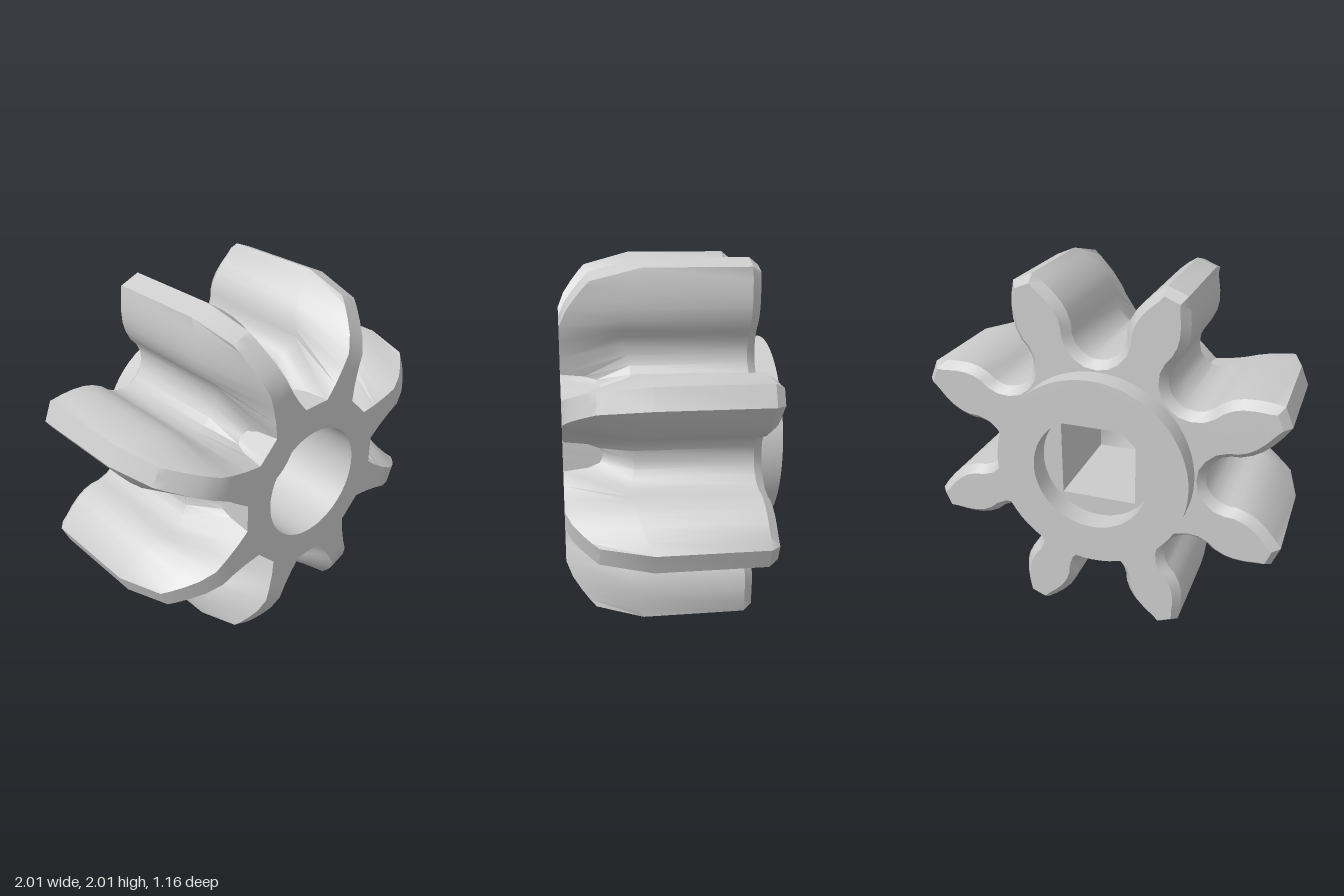
import * as THREE from 'three';
import { toCreasedNormals } from 'three/addons/utils/BufferGeometryUtils.js';

const TEETH = 8;
const HALF = Math.PI / TEETH; // from the middle of a gap to a tooth axis
const BORE = 0.32, BACK = -0.46, FRONT = 0.58, SHELF = 0.15;

// Half a tooth gap, from its floor to the tooth tip:
// flank (across gap, along gap, z where the front bevel starts),
// ridge (along tooth, across tooth, z where the bevel ends, z of the front edge)
const ROWS = [
  [0, 0.585, 0.22, 0.443, 0.184, 0.37, FRONT],
  [0.05, 0.592, 0.22, 0.459, 0.147, 0.39, FRONT],
  [0.095, 0.62, 0.23, 0.468, 0.124, 0.45, FRONT],
  [0.13, 0.66, 0.25, 0.474, 0.11, FRONT, FRONT],
  [0.147, 0.71, 0.27, 0.56, 0.085, FRONT, FRONT],
  [0.15, 0.76, 0.26, 0.65, 0.068, FRONT, FRONT],
  [0.17, 0.82, 0.24, 0.73, 0.06, FRONT, FRONT],
  [0.2, 0.87, 0.23, 0.82, 0.057, 0.545, 0.545],
  [0.245, 0.92, 0.21, 0.89, 0.055, 0.50, 0.50],
  [0.3, 0.967, 0.19, 0.95, 0.054, 0.455, 0.455],
  [0.354, 1.004, 0.16, 0.99, 0.053, 0.42, 0.42],
];
const TOOTH_ROW = 4; // rows from here on belong to a tooth

// One closed ring: rule(row, index) gives [radius, angle from gap middle, z]
function makeRing(rule) {
  const ring = [];
  for (let k = 0; k < TEETH; k++) {
    for (let j = 1 - ROWS.length; j < ROWS.length; j++) {
      const i = Math.abs(j);
      const [r, a, z] = rule(ROWS[i], i);
      const angle = k * 2 * HALF + Math.sign(j) * a;
      ring.push(new THREE.Vector3(r * Math.cos(angle), r * Math.sin(angle), z));
    }
  }
  return ring;
}

// Moves a ring inward along its normals, for the rear chamfer
function insetRing(ring, amount, z) {
  const n = ring.length;
  return ring.map((p, i) => {
    const t = ring[(i + 1) % n].clone().sub(ring[(i + n - 1) % n]).setZ(0).normalize();
    return new THREE.Vector3(p.x - t.y * amount, p.y + t.x * amount, z);
  });
}

// Joins consecutive rings with triangles, leaving out the collapsed ones
function loft(rings) {
  const pos = [];
  const tri = (a, b, c) => {
    const area = b.clone().sub(a).cross(c.clone().sub(a)).length();
    if (area > 1e-7) for (const p of [a, b, c]) pos.push(p.x, p.y, p.z);
  };
  for (let k = 0; k + 1 < rings.length; k++) {
    const a = rings[k], b = rings[k + 1];
    for (let i = 0; i < a.length; i++) {
      const j = (i + 1) % a.length;
      tri(a[i], a[j], b[j]);
      tri(a[i], b[j], b[i]);
    }
  }
  const geo = new THREE.BufferGeometry();
  geo.setAttribute('position', new THREE.Float32BufferAttribute(pos, 3));
  return toCreasedNormals(geo, 0.6);
}

function toothedBody() {
  const flank = (z) => makeRing((q) => [Math.hypot(q[0], q[1]), Math.atan2(q[0], q[1]), z ?? q[2]]);
  const ridge = (col) => makeRing((q) => [Math.hypot(q[3], q[4]), HALF - Math.atan2(q[4], q[3]), q[col]]);
  const circle = (r, z) => makeRing((q, i) => [r, HALF * Math.min(i / TOOTH_ROW, 1), z]);
  // Tooth rows fold onto the tooth axis; gap rows stay on the outline
  const spine = (ring) => {
    const n = 2 * ROWS.length - 1;
    return ring.map((p, idx) => {
      const j = (idx % n) - (ROWS.length - 1);
      if (Math.abs(j) < TOOTH_ROW) return p.clone();
      const axis = Math.floor(idx / n) * 2 * HALF + Math.sign(j) * HALF;
      const c = Math.cos(axis), s = Math.sin(axis), u = p.x * c + p.y * s;
      return new THREE.Vector3(u * c, u * s, p.z);
    });
  };
  const rear = insetRing(flank(-0.41), 0.04, BACK);
  const front = ridge(6);
  return loft([
    circle(0.4, BACK), spine(rear), rear, // rear face
    flank(-0.41), flank(),                // rear chamfer and flanks
    ridge(5), front,                      // front bevel and scooped gap floors
    spine(front), circle(BORE, FRONT),    // front face
    circle(BORE, SHELF),                  // bore wall
  ]);
}

// Disc with a hole, from z0 to z1
function disc(radius, hole, z0, z1) {
  const shape = new THREE.Shape().absarc(0, 0, radius, 0, Math.PI * 2, false);
  shape.holes.push(hole);
  const geo = new THREE.ExtrudeGeometry(shape, { depth: z1 - z0, bevelEnabled: false, curveSegments: 32 });
  geo.translate(0, 0, z0);
  return toCreasedNormals(geo, 0.6);
}

export function createModel() {
  const group = new THREE.Group();
  group.name = 'pinionGear';
  const material = new THREE.MeshStandardMaterial({ color: 0xcccccc });
  const add = (name, geo) => {
    const mesh = new THREE.Mesh(geo, material);
    mesh.name = name;
    mesh.position.y = 1;
    group.add(mesh);
  };

  add('toothedBody', toothedBody());

  // Web inside the bore with the square drive hole
  const s = 0.21;
  const square = new THREE.Path().moveTo(-s, -s).lineTo(-s, s).lineTo(s, s).lineTo(s, -s).closePath();
  add('squareDriveWeb', disc(BORE, square, -0.45, SHELF));

  // Raised collar on the rear face
  const round = new THREE.Path().absarc(0, 0, BORE, 0, Math.PI * 2, true);
  add('rearCollar', disc(0.535, round, -0.58, -0.45));

  return group;
}
